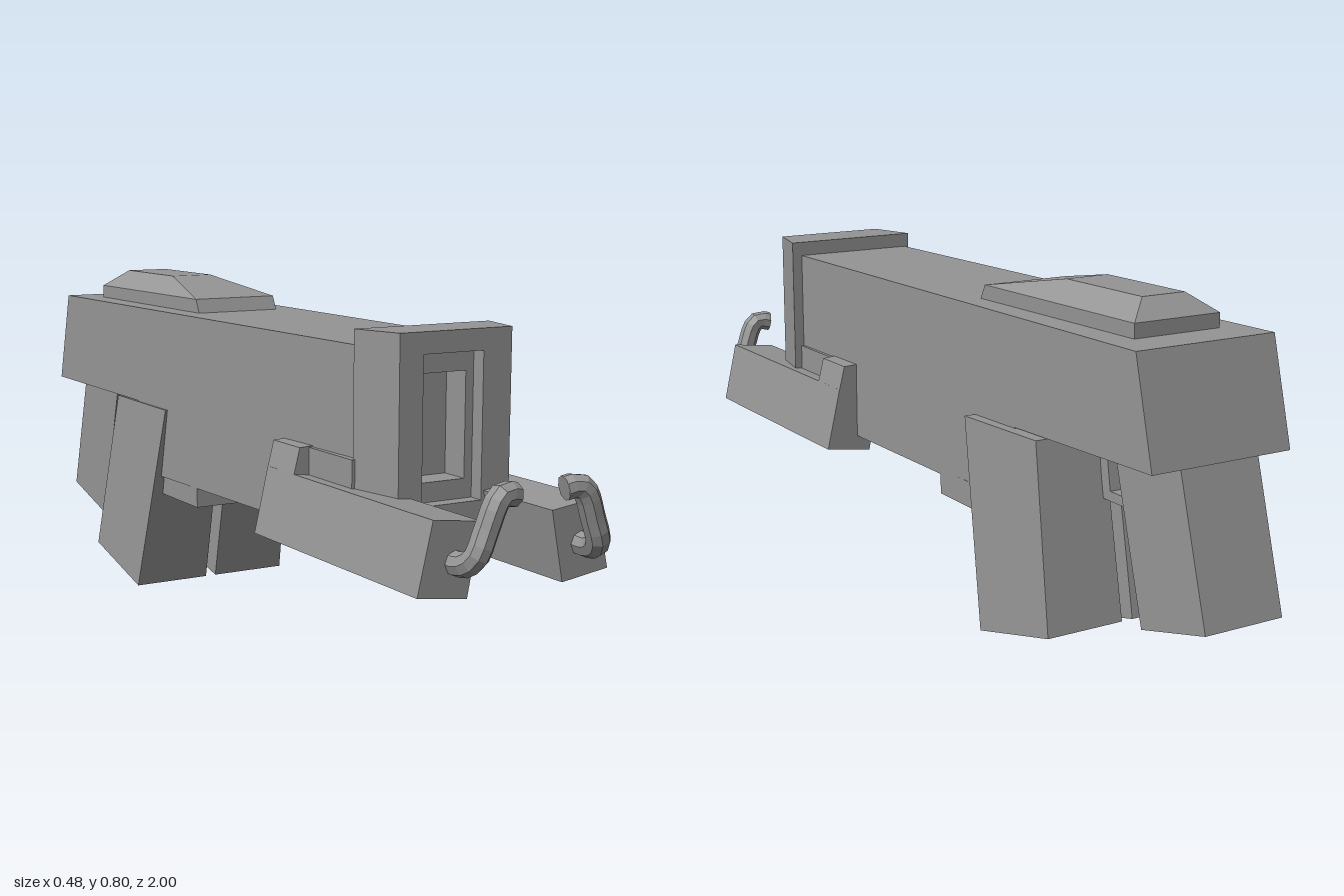
import * as THREE from 'three';

const grey = new THREE.MeshStandardMaterial({ color: 0x959595, flatShading: true });

function add(group, name, geometry) {
  const mesh = new THREE.Mesh(geometry, grey);
  mesh.name = name;
  group.add(mesh);
  return mesh;
}

const polygon = (pts) => new THREE.Shape(pts.map(([x, y]) => new THREE.Vector2(x, y)));

// Side outline of [z, y] points, stretched across x between the limits given by span(z, y)
function sidePrism(outline, span) {
  const geo = new THREE.ExtrudeGeometry(polygon(outline.map(([z, y]) => [-z, y])), { depth: 1, bevelEnabled: false });
  geo.rotateY(Math.PI / 2);
  const p = geo.attributes.position;
  for (let i = 0; i < p.count; i++) {
    const [a, b] = span(p.getZ(i), p.getY(i));
    p.setX(i, a + (b - a) * p.getX(i));
  }
  geo.computeVertexNormals();
  return geo;
}

// Front outline of [x, y] points running from z0 to z1, with an optional hole
function frontPrism(outline, z0, z1, hole) {
  const shape = polygon(outline);
  if (hole) shape.holes.push(polygon(hole));
  return new THREE.ExtrudeGeometry(shape, { depth: z1 - z0, bevelEnabled: false }).translate(0, 0, z0);
}

const rect = (x0, x1, y0, y1) => [[x0, y0], [x1, y0], [x1, y1], [x0, y1]];
const lerp = THREE.MathUtils.lerp;

// Solid from rectangular levels [y, x0, x1, zBack, zFront], skewed sideways along its length
function stackedLevels(levels, skew) {
  const pos = [], index = [];
  for (const [y, x0, x1, zb, zf] of levels) {
    const d = skew * (zf - zb) / 2;
    pos.push(x0 + d, y, zf, x1 + d, y, zf, x1 - d, y, zb, x0 - d, y, zb);
  }
  const n = levels.length;
  for (let k = 0; k < n - 1; k++) {
    for (let i = 0; i < 4; i++) {
      const a = k * 4 + i, b = k * 4 + (i + 1) % 4;
      index.push(a, b, b + 4, a, b + 4, a + 4);
    }
  }
  const t = (n - 1) * 4;
  index.push(t, t + 1, t + 2, t, t + 2, t + 3, 0, 2, 1, 0, 3, 2);
  const geo = new THREE.BufferGeometry();
  geo.setAttribute('position', new THREE.Float32BufferAttribute(pos, 3));
  geo.setIndex(index);
  const flat = geo.toNonIndexed();
  flat.computeVertexNormals();
  return flat;
}

export function createModel() {
  const model = new THREE.Group();
  model.name = 'blaster';

  // Main body, widening and drifting sideways toward the rear
  add(model, 'body', sidePrism(
    [[0.57, 0.722], [-0.865, 0.725], [-0.925, 0.49], [-0.45, 0.48], [-0.45, 0.298], [0.4, 0.298], [0.57, 0.34]],
    (z) => {
      const t = (z + 0.9) / 1.46;
      return [lerp(-0.213, -0.15, t), lerp(0.141, 0.16, t)];
    }));

  // Plate under the body
  add(model, 'underPlate', sidePrism(rect(-0.42, -0.14, 0.25, 0.31), () => [-0.18, 0.15]));

  // Muzzle block: tapered frame with a stepped opening
  const muzzle = new THREE.Group();
  muzzle.name = 'muzzle';
  model.add(muzzle);
  const opening = rect(-0.067, 0.085, 0.39, 0.71);
  const innerOpening = rect(-0.05, 0.065, 0.433, 0.665);
  const rim = frontPrism(rect(-0.161, 0.186, 0.34, 0.757), 0.555, 0.675, opening);
  const p = rim.attributes.position;
  for (let i = 0; i < p.count; i++) {
    const x = p.getX(i);
    if (p.getZ(i) > 0.6 && Math.abs(x - 0.015) > 0.15) p.setX(i, x < 0 ? -0.126 : 0.158);
  }
  rim.computeVertexNormals();
  add(muzzle, 'muzzleRim', rim);
  add(muzzle, 'muzzleStep', frontPrism(opening, 0.57, 0.64, innerOpening));

  // Raised cover on top
  add(model, 'topCover', stackedLevels([
    [0.72, -0.137, 0.083, -0.77, -0.222],
    [0.757, -0.137, 0.083, -0.77, -0.24],
    [0.799, -0.084, 0.026, -0.725, -0.47],
  ], 0.035));

  // Pair of front grips, flaring out toward the bottom and turned slightly
  const gripSide = [[-0.565, 0.48], [-0.645, 0.065], [-0.39, 0], [-0.29, 0.475]];
  const turn = (z) => 0.025 * (z + 0.45);
  add(model, 'rightFrontGrip', sidePrism(gripSide,
    (z, y) => [lerp(-0.231, -0.196, y / 0.48) + turn(z), -0.032 + turn(z)]));
  add(model, 'leftFrontGrip', sidePrism(gripSide,
    (z, y) => [-0.004 + turn(z), lerp(0.194, 0.172, y / 0.48) + turn(z)]));

  // Rear grip
  add(model, 'rearGrip', sidePrism(
    [[-0.685, 0.49], [-0.905, 0.49], [-1, 0.165], [-0.795, 0.11]],
    () => [-0.145, 0.055]));

  // Trigger guard between the grips
  const guardSpan = () => [-0.08, 0.01];
  add(model, 'guardTop', sidePrism(rect(-0.72, -0.54, 0.457, 0.49), guardSpan));
  add(model, 'guardBar', sidePrism(rect(-0.74, -0.56, 0.335, 0.357), guardSpan));
  add(model, 'guardFront', sidePrism([[-0.57, 0.48], [-0.595, 0.48], [-0.62, 0.34], [-0.59, 0.34]], guardSpan));

  // Mirrored prongs beside the muzzle, each with a bent hook at its tip
  for (const s of [1, -1]) {
    const prong = new THREE.Group();
    prong.name = s > 0 ? 'leftProng' : 'rightProng';
    model.add(prong);
    const side = (pts) => pts.map(([x, y]) => [x * s, y]);
    add(prong, 'prongArm', frontPrism(
      side([[0.122, 0.257], [0.24, 0.273], [0.205, 0.424], [0.092, 0.41]]), 0.265, s > 0 ? 0.906 : 0.915));
    add(prong, 'prongShoulder', frontPrism(side([[0.11, 0.40], [0.207, 0.415], [0.19, 0.482], [0.11, 0.487]]), 0.265, 0.382));
    add(prong, 'prongLedge', frontPrism(side(rect(0.11, 0.167, 0.38, 0.481)), 0.37, 0.56));

    // The hooks sit a little toward the left
    const path = new THREE.CatmullRomCurve3([
      [0.159, 0.335, 0.89], [0.159, 0.334, 0.94], [0.151, 0.353, 0.968], [0.131, 0.405, 0.973],
      [0.114, 0.45, 0.975], [0.104, 0.465, 0.974], [0.09, 0.473, 0.972], [0.062, 0.468, 0.966],
    ].map(([x, y, z]) => new THREE.Vector3(x * s + 0.009, y, z)));
    add(prong, 'hook', new THREE.TubeGeometry(path, 14, 0.026, 8));
    // Flat cap closing the free end of the hook
    const cap = add(prong, 'hookCap', new THREE.CircleGeometry(0.026, 8));
    cap.position.copy(path.getPoint(1));
    cap.lookAt(path.getPoint(1).add(path.getTangent(1)));
  }

  return model;
}
